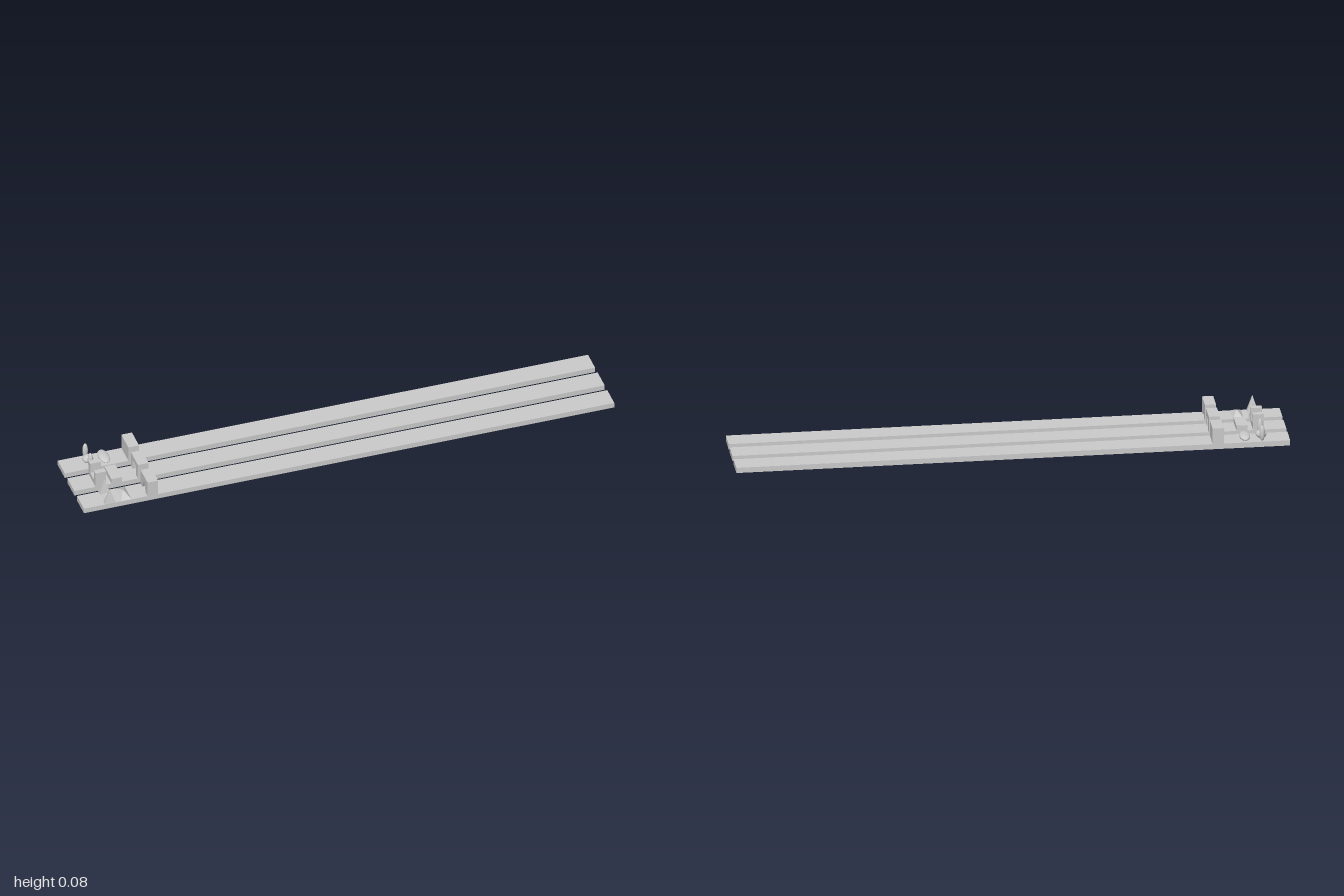
import * as THREE from 'three';

const DECK = 0.02; // top of each lane

export function createModel() {
  const model = new THREE.Group();
  const flat = new THREE.MeshStandardMaterial({ color: 0xcccccc, flatShading: true });
  const smooth = new THREE.MeshStandardMaterial({ color: 0xcccccc });

  // unit solids, one style per lane, each filling a 1 x 1 x 1 box
  const box = new THREE.BoxGeometry(1, 1, 1);
  const pyramid = new THREE.ConeGeometry(Math.SQRT1_2, 1, 4).rotateY(Math.PI / 4);
  const ball = new THREE.SphereGeometry(0.5, 24, 16);

  function add(parent, name, geometry, x, z, sx, sy, sz, y0 = DECK) {
    const mesh = new THREE.Mesh(geometry, geometry === ball ? smooth : flat);
    mesh.name = name;
    mesh.scale.set(sx, sy, sz);
    mesh.position.set(x, y0 + sy / 2, z);
    parent.add(mesh);
  }

  // wall across a lane, 0.04 thick, with an optional doorway cut up from the deck
  function wall(doorway) {
    const outline = [[-0.04, 0], ...doorway, [0.04, 0], [0.04, 0.06], [-0.04, 0.06]];
    const shape = new THREE.Shape(outline.map(([u, v]) => new THREE.Vector2(u, v)));
    const geometry = new THREE.ExtrudeGeometry(shape, { depth: 0.04, bevelEnabled: false });
    const mesh = new THREE.Mesh(geometry.rotateY(Math.PI / 2), flat);
    mesh.name = 'wall';
    mesh.position.set(-0.76, DECK, 0);
    return mesh;
  }

  const lanes = [
    { name: 'pointedLane', z: 0.11, solid: pyramid, doorway: [[-0.02, 0], [0, 0.04], [0.02, 0]] },
    { name: 'squareLane', z: 0, solid: box,
      doorway: [[-0.02, 0], [-0.02, 0.038], [-0.018, 0.04], [0.018, 0.04], [0.02, 0.038], [0.02, 0]] },
    { name: 'roundLane', z: -0.11, solid: ball, doorway: [] },
  ];

  for (const { name, z, solid, doorway } of lanes) {
    const lane = new THREE.Group();
    lane.name = name;
    lane.position.z = z;
    add(lane, 'deck', box, 0, 0, 2, DECK, 0.08, 0);

    // gate: two tall side posts with a low piece between them
    const postDepth = solid === ball ? 0.02 : 0.04;
    for (const side of [-1, 1]) {
      add(lane, 'gatePost', solid, -0.9, side * 0.03, postDepth, 0.06, 0.02);
    }
    add(lane, 'gateSill', solid, -0.9, 0, 0.04, solid === ball ? 0.03 : 0.02, 0.04);

    // low hurdle over the full lane width
    add(lane, 'hurdle', solid, -0.84, 0, 0.04, 0.02, 0.08);
    lane.add(wall(doorway));
    model.add(lane);
  }
  return model;
}
